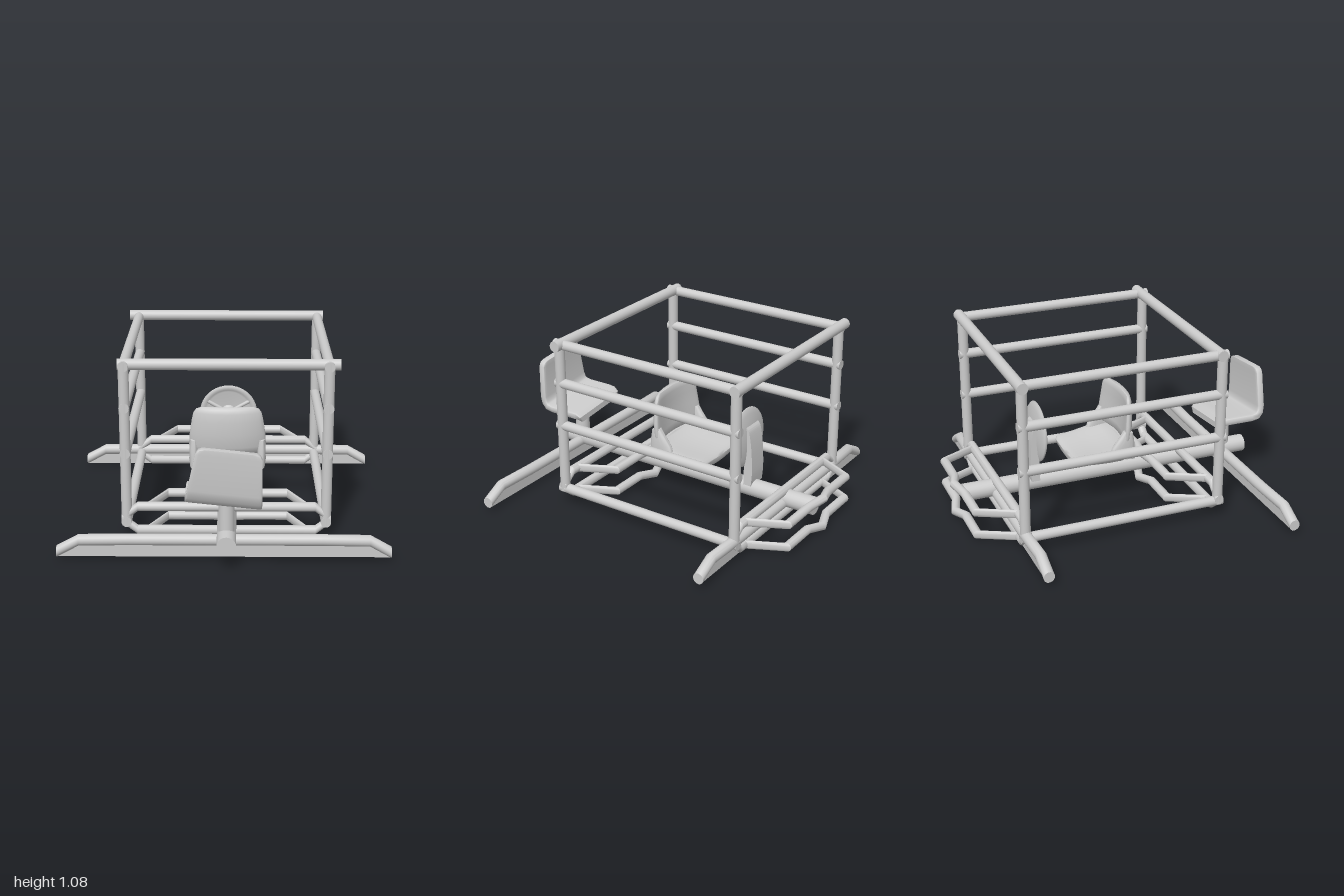
import * as THREE from 'three';
import { toCreasedNormals } from 'three/addons/utils/BufferGeometryUtils.js';

const V = (x, y, z) => new THREE.Vector3(x, y, z);
const MID = 0.012; // x of the central axis

export function createModel() {
  const root = new THREE.Group();
  const material = new THREE.MeshStandardMaterial({ color: 0xcccccc });

  function add(geometry, name, parent = root) {
    const mesh = new THREE.Mesh(geometry, material);
    mesh.name = name;
    parent.add(mesh);
    return mesh;
  }

  function group(name) {
    const g = new THREE.Group();
    g.name = name;
    root.add(g);
    return g;
  }

  // Straight round bar between two points
  function bar(a, b, r, name, parent) {
    const mesh = add(new THREE.CylinderGeometry(r, r, a.distanceTo(b), 20), name, parent);
    mesh.position.copy(a).add(b).multiplyScalar(0.5);
    mesh.quaternion.setFromUnitVectors(V(0, 1, 0), b.clone().sub(a).normalize());
    return mesh;
  }

  // Skin closed cross-sections, which run anticlockwise about the travel direction
  function loft(rings, crease = 0.6) {
    const n = rings[0].length, pos = [];
    const tri = (...p) => p.forEach((v) => pos.push(v.x, v.y, v.z));
    const centre = (ring) => ring.reduce((s, p) => s.add(p), V(0, 0, 0)).divideScalar(n);
    const first = rings[0], last = rings[rings.length - 1];
    const c0 = centre(first), c1 = centre(last);
    for (let j = 0; j < n; j++) {
      const k = (j + 1) % n;
      for (let i = 0; i < rings.length - 1; i++) {
        const a = rings[i], b = rings[i + 1];
        tri(a[j], a[k], b[k]);
        tri(a[j], b[k], b[j]);
      }
      tri(c0, first[k], first[j]);
      tri(c1, last[j], last[k]);
    }
    const geo = new THREE.BufferGeometry();
    geo.setAttribute('position', new THREE.Float32BufferAttribute(pos, 3));
    return toCreasedNormals(geo, crease);
  }

  // Bent tube running along x whose sections all stay upright in the yz plane
  function bentTube(path, r) {
    return loft(path.map(([x, y, z]) => Array.from({ length: 20 }, (_, j) => {
      const a = (j / 20) * Math.PI * 2;
      return V(x, y + r * Math.cos(a), z + r * Math.sin(a));
    })));
  }

  // Padded slab along stations [z, y, halfWidth, halfThickness], bowed towards its sides
  function slab(stations, power, bow = V(0, 0, 0), crease = 1.0) {
    const sides = 36;
    const soft = (v) => Math.sign(v) * Math.abs(v) ** power;
    return loft(stations.map(([z, y, w, t], i) => {
      const p = stations[Math.max(i - 1, 0)];
      const q = stations[Math.min(i + 1, stations.length - 1)];
      const normal = V(0, q[1] - p[1], q[0] - p[0]).normalize().cross(V(1, 0, 0));
      return Array.from({ length: sides }, (_, j) => {
        const a = (j / sides) * Math.PI * 2, c = soft(Math.cos(a));
        return V(c * w, y, z).addScaledVector(normal, t * soft(Math.sin(a)))
          .addScaledVector(bow, c * c * (w / 0.24) ** 2);
      });
    }), crease);
  }

  // Central beam
  bar(V(MID, 0.155, 0.96), V(MID, 0.155, -0.92), 0.055, 'centralBeam');

  // Cage: posts, side rails and top cross bars
  const cage = group('cage');
  for (const x of [-0.575, 0.592]) {
    for (const z of [0.495, -0.72]) bar(V(x, 0.1, z), V(x, 1.075, z), 0.031, 'post', cage);
    for (const y of [0.115, 0.538, 0.812, 1.057]) {
      bar(V(x, y, 0.525), V(x, y, -0.75), 0.03, 'sideRail', cage);
    }
  }
  bar(V(-0.61, 1.062, 0.48), V(0.656, 1.062, 0.48), 0.033, 'frontTopBar', cage);
  bar(V(-0.634, 1.062, -0.73), V(0.632, 1.062, -0.73), 0.033, 'backTopBar', cage);

  // End frames with their foot racks, the same at front and back
  for (const [end, z] of [['front', 0.495], ['back', -0.715]]) {
    const frame = group(end + 'Frame');
    for (const s of [1, -1]) {
      const y = 0.131 + s * 0.073;
      add(bentTube([[-0.605, 0.131, z], [-0.51, y, z], [0.53, y, z], [0.62, 0.131, z]], 0.028),
        s > 0 ? 'upperCrossBar' : 'lowerCrossBar', frame);
      const out = z - 0.222;
      add(bentTube([
        [-0.45, y, z], [-0.34, y, out], [-0.1, y, out], [MID, y + s * 0.02, out - 0.036],
        [0.13, y, out], [0.37, y, out], [0.48, y, z],
      ], 0.027), s > 0 ? 'upperFootRack' : 'lowerFootRack', frame);
    }
  }

  // Wide bumpers with a thin plate filling the space below the tube
  for (const [end, z] of [['front', 0.81], ['back', -0.72]]) {
    const bumper = group(end + 'Bumper');
    add(bentTube([
      [-0.945, 0.065, z + 0.012], [-0.82, 0.132, z + 0.008], [-0.55, 0.132, z],
      [0.55, 0.132, z], [0.82, 0.132, z + 0.008], [0.94, 0.065, z + 0.012],
    ], 0.033), 'bumperTube', bumper);
    const outline = new THREE.Shape([[-0.945, 0.032], [0.94, 0.032], [0.94, 0.065], [0.82, 0.13],
      [-0.82, 0.13], [-0.945, 0.065]].map(([x, y]) => new THREE.Vector2(x, y)));
    const plate = new THREE.ExtrudeGeometry(outline, { depth: 0.01, bevelEnabled: false });
    add(plate, 'bumperPlate', bumper).position.z = z;
  }

  // Front chair: one bent board, tilted sideways on a round stand
  const chair = group('frontChair');
  bar(V(MID, 0.15, 0.815), V(MID, 0.4, 0.815), 0.045, 'chairStand', chair);
  const board = add(slab([
    [0.978, 0.31, 0.15, 0.021], [0.978, 0.302, 0.168, 0.022], [0.978, 0.28, 0.182, 0.022],
    [0.978, 0.07, 0.205, 0.022], [0.97, 0.03, 0.208, 0.023], [0.95, 0.008, 0.212, 0.023],
    [0.91, 0, 0.214, 0.022], [0.76, 0, 0.214, 0.022], [0.72, -0.003, 0.211, 0.022],
    [0.698, -0.016, 0.203, 0.02], [0.692, -0.045, 0.18, 0.012],
  ], 0.15, undefined, 0.8), 'chairBoard', chair);
  board.position.set(-0.003, 0.41, 0);
  board.rotation.z = -0.105;

  // Driver's bucket seat, facing the steering wheel
  const seat = group('bucketSeat');
  seat.position.x = MID;
  add(slab([
    [0.138, 0.315, 0.12, 0.015], [0.125, 0.312, 0.175, 0.04], [0.09, 0.308, 0.215, 0.055],
    [0.03, 0.298, 0.237, 0.055], [-0.05, 0.29, 0.238, 0.045], [-0.14, 0.287, 0.225, 0.038],
    [-0.22, 0.29, 0.212, 0.034], [-0.25, 0.293, 0.2, 0.026], [-0.262, 0.294, 0.18, 0.01],
  ], 0.7, V(0, 0.04, 0)), 'seatPan', seat);
  add(slab([
    [0.1, 0.385, 0.2, 0.01], [0.1, 0.395, 0.225, 0.022], [0.107, 0.44, 0.236, 0.028],
    [0.115, 0.52, 0.23, 0.028], [0.117, 0.6, 0.218, 0.026], [0.115, 0.65, 0.207, 0.023],
    [0.113, 0.675, 0.19, 0.018], [0.112, 0.687, 0.16, 0.008],
  ], 0.6, V(0, 0, -0.055)), 'backrest', seat);
  for (const s of [-1, 1]) {
    const side = slab([
      [0.03, 0.31, 0.025, 0.085], [0.04, 0.37, 0.028, 0.075],
      [0.06, 0.43, 0.026, 0.05], [0.07, 0.48, 0.02, 0.03],
    ], 0.8);
    add(side, 'seatSide', seat).position.x = s * 0.207;
  }
  for (const z of [0.025, -0.115]) bar(V(0, 0.16, z), V(0, 0.28, z), 0.03, 'seatFoot', seat);

  // Steering wheel: dished disc with a raised rim, hub and spokes
  const wheel = group('steeringWheel');
  wheel.position.set(0.015, 0.482, -0.452);
  wheel.rotation.x = 0.04;
  const profile = [[0, -0.026], [0.08, -0.022], [0.15, -0.01], [0.18, 0], [0.186, 0.008],
    [0.175, 0.016], [0.155, 0.013], [0.14, 0], [0, -0.006]].map(([r, y]) => new THREE.Vector2(r, y));
  add(new THREE.LatheGeometry(profile, 40).rotateX(Math.PI / 2), 'wheelDisc', wheel);
  add(new THREE.SphereGeometry(0.05, 24, 12).scale(1, 1, 0.45), 'wheelHub', wheel);
  for (let i = 0; i < 3; i++) {
    const a = Math.PI * (0.5 + (i * 2) / 3) + Math.PI;
    bar(V(0, 0, 0.004), V(0.155 * Math.cos(a), 0.155 * Math.sin(a), 0.006), 0.012, 'wheelSpoke', wheel);
  }

  // Steering column: upright panel from the beam to the wheel
  const side = new THREE.Shape();
  side.moveTo(0.455, 0.185);
  side.lineTo(0.507, 0.185);
  side.splineThru([[0.514, 0.28], [0.507, 0.42], [0.49, 0.53], [0.47, 0.565]]
    .map(([x, y]) => new THREE.Vector2(x, y)));
  side.lineTo(0.46, 0.5);
  const column = new THREE.ExtrudeGeometry(side, { depth: 0.132, bevelEnabled: false });
  column.rotateY(Math.PI / 2); // profile x becomes -z, depth becomes x
  add(toCreasedNormals(column, 0.5), 'steeringColumn').position.x = -0.068;

  return root;
}
